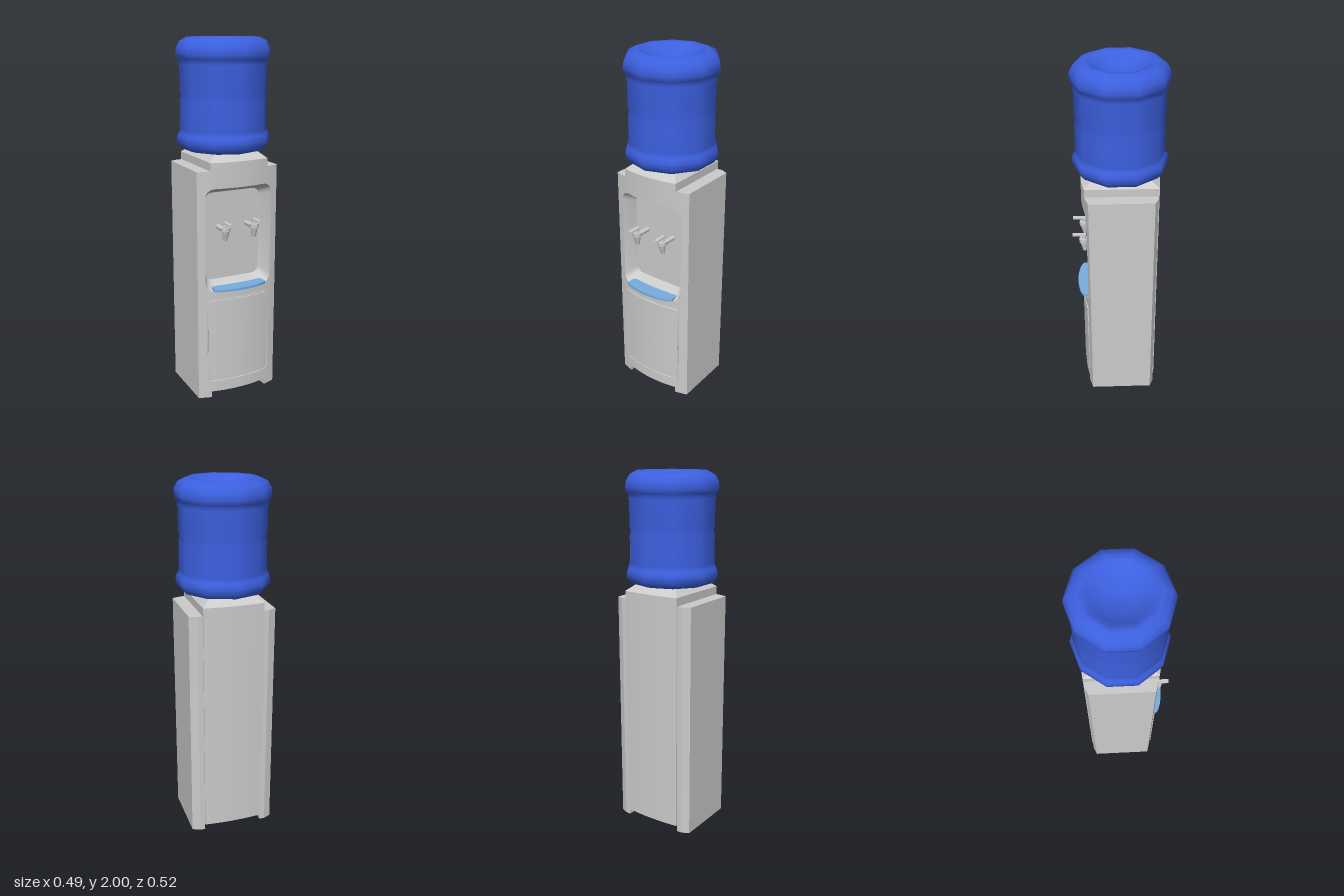
import * as THREE from 'three';
import { toCreasedNormals } from 'three/addons/utils/BufferGeometryUtils.js';

const grey = new THREE.MeshStandardMaterial({ color: 0xcccccc });
const blue = new THREE.MeshStandardMaterial({ color: 0x3c60e0 });
const paleBlue = new THREE.MeshStandardMaterial({ color: 0x78aee0 });

// Column positions across a rounded panel, as fractions of its half width
const half = [0.25, 0.5, 0.75, 0.85, 0.94, 0.98, 1];
const F = [...half.map((f) => -f).reverse(), 0, ...half];

// Bowed front and back of the cabinet
const SEAM = 0.17;
const frontZ = (x) => 0.21 - 0.7 * x * x;
const backCentreZ = (x) => -0.217 + 0.35 * x * x;
const backSideZ = (x) => (Math.abs(x) <= 0.2 ? -0.2 : -0.2 + ((Math.abs(x) - 0.2) / 0.042) * 0.02);

// Collects strips of quads between two polylines of equal length
class Skin {
  constructor() { this.pos = []; }
  strip(a, b) {
    for (let i = 0; i < a.length - 1; i++) {
      this.pos.push(...a[i], ...a[i + 1], ...b[i + 1], ...a[i], ...b[i + 1], ...b[i]);
    }
    return this;
  }
  // Wall at constant x, facing +x (dir 1) or -x (dir -1)
  wall(x, zf, zb, y0, y1, dir) {
    const lo = [[x, y0, zf], [x, y0, zb]], hi = [[x, y1, zf], [x, y1, zb]];
    if (dir < 0) { lo.reverse(); hi.reverse(); }
    return this.strip(lo, hi);
  }
  mesh(name, material = grey) {
    const g = new THREE.BufferGeometry();
    g.setAttribute('position', new THREE.Float32BufferAttribute(this.pos, 3));
    g.computeVertexNormals();
    return named(name, toCreasedNormals(g, 0.4), material);
  }
}

function named(name, geometry, material = grey) {
  const m = new THREE.Mesh(geometry, material);
  m.name = name;
  return m;
}

// Upper and lower edges of a rounded rectangle, left to right
function roundedEdges(hw, y0, y1, r, z) {
  const lo = [], hi = [];
  for (const f of F) {
    const x = f * hw;
    const d = Math.min(r, Math.max(0, Math.abs(x) - (hw - r)));
    const inset = r - Math.sqrt(r * r - d * d);
    lo.push([x, y0 + inset, z(x)]);
    hi.push([x, y1 - inset, z(x)]);
  }
  return { lo, hi, loop: [...hi, ...[...lo].reverse(), hi[0]] };
}

function cabinet() {
  const s = new Skin();
  const niche = roundedEdges(0.2, 0.645, 1.225, 0.05, frontZ);
  const inner = roundedEdges(0.166, 0.685, 1.185, 0.04, () => 0.105);
  const xs = [-0.242, ...F.map((f) => f * 0.2), 0.242];

  // Side panels and centre: each section has its own height and back
  const sections = [
    { a: -0.242, b: -SEAM, y0: 0, y1: 1.32, back: backSideZ },
    { a: -SEAM, b: SEAM, y0: 0.035, y1: 1.365, back: backCentreZ },
    { a: SEAM, b: 0.242, y0: 0, y1: 1.32, back: backSideZ },
  ];
  for (const { a, b, y0, y1, back } of sections) {
    const cols = xs.filter((x) => x > a - 1e-6 && x < b + 1e-6);
    const front = (y) => cols.map((x) => [x, y, frontZ(x)]);
    const rear = (y) => cols.map((x) => [x, y, back(x)]);
    s.strip(rear(y1), rear(y0)).strip(front(y1), rear(y1)).strip(rear(y0), front(y0));
  }

  // Front face around the niche
  const height = (x, inside) => {
    const side = Math.abs(x + inside) / 2 > SEAM;
    return side ? [0, 1.32] : [0.035, 1.365];
  };
  for (let i = 0; i < xs.length - 1; i++) {
    const pair = [xs[i], xs[i + 1]];
    const [y0, y1] = height(...pair);
    const at = (y) => pair.map((x) => [x, y, frontZ(x)]);
    if (i === 0 || i === xs.length - 2) s.strip(at(y0), at(y1));
    else {
      s.strip(at(y0), niche.lo.slice(i - 1, i + 1));
      s.strip(niche.hi.slice(i - 1, i + 1), at(y1));
    }
  }

  // Niche walls and back
  s.strip(inner.loop, niche.loop).strip(inner.lo, inner.hi);

  // Outer sides, feet steps, top steps and back seams
  for (const d of [-1, 1]) {
    s.wall(d * 0.242, frontZ(0.242), backSideZ(0.242), 0, 1.32, d);
    s.wall(d * SEAM, frontZ(SEAM), backSideZ(SEAM), 0, 0.035, -d);
    s.wall(d * SEAM, frontZ(SEAM), backCentreZ(SEAM), 1.32, 1.365, d);
    s.wall(d * SEAM, backSideZ(SEAM), backCentreZ(SEAM), 0.035, 1.32, d);
  }
  return s.mesh('cabinet');
}

// Sloping collar under the bottle
function topCap() {
  const ring = (y, k) => {
    const front = F.map((f) => [f * SEAM * k, y, frontZ(f * SEAM) * k]);
    const back = F.map((f) => [f * SEAM * k, y, backCentreZ(f * SEAM) * k]);
    return { front, back, loop: [...front, ...[...back].reverse(), front[0]] };
  };
  const base = ring(1.365, 1), top = ring(1.405, 0.73);
  return new Skin().strip(base.loop, top.loop).strip(top.front, top.back).mesh('topCap');
}

// Raised bowed door with a shallow border groove
function door() {
  const ring = (inset, lift) =>
    roundedEdges(0.192 - inset, 0.1 + inset, 0.6 - inset, 0.02 - inset, (x) => frontZ(x) + lift);
  const base = ring(0, -0.002), rim = ring(0, 0.004), rimIn = ring(0.004, 0.004);
  const low = ring(0.006, 0.001), face = ring(0.008, 0.004);
  return new Skin()
    .strip(rim.loop, base.loop).strip(rimIn.loop, rim.loop).strip(low.loop, rimIn.loop)
    .strip(face.loop, low.loop).strip(face.lo, face.hi).mesh('door');
}

function dripTray() {
  // Plan drawn with shape y = -z, so that it extrudes upwards
  const shape = new THREE.Shape();
  shape.moveTo(-0.155, -0.14);
  shape.lineTo(-0.158, -0.205);
  shape.quadraticCurveTo(-0.13, -0.238, 0, -0.243);
  shape.quadraticCurveTo(0.13, -0.238, 0.158, -0.205);
  shape.lineTo(0.155, -0.14);
  const g = new THREE.ExtrudeGeometry(shape, { depth: 0.014, bevelEnabled: false, curveSegments: 8 });
  g.rotateX(-Math.PI / 2);
  const tray = named('dripTray', g, paleBlue);
  tray.position.y = 0.649;
  return tray;
}

function tap(x, name) {
  const tapGroup = new THREE.Group();
  tapGroup.name = name;
  const add = (part, g, y, z, rx = 0) => {
    const m = named(part, g);
    m.position.set(0, y, z);
    m.rotation.x = rx;
    tapGroup.add(m);
  };
  add('tapPipe', new THREE.CylinderGeometry(0.014, 0.014, 0.1, 10), 0.99, 0.15, Math.PI / 2);
  add('tapCollar', new THREE.CylinderGeometry(0.026, 0.026, 0.022, 10), 0.998, 0.2);
  add('tapSpout', new THREE.CylinderGeometry(0.021, 0.012, 0.056, 10), 0.961, 0.198, 0.12);
  add('tapStem', new THREE.CylinderGeometry(0.009, 0.013, 0.026, 8), 1.02, 0.2);
  add('tapLever', new THREE.BoxGeometry(0.022, 0.008, 0.075), 1.033, 0.2245);
  tapGroup.position.x = x;
  return tapGroup;
}

// Ten-sided bottle with ribs and a dished end
function bottle() {
  const profile = [
    [0, 1.4], [0.2, 1.4], [0.235, 1.41], [0.255, 1.435], [0.258, 1.465], [0.25, 1.49],
    [0.238, 1.505], [0.243, 1.52], [0.238, 1.54], [0.238, 1.67], [0.231, 1.692], [0.238, 1.714],
    [0.238, 1.845], [0.243, 1.86], [0.238, 1.878], [0.252, 1.89], [0.258, 1.915], [0.255, 1.945],
    [0.235, 1.98], [0.195, 2], [0.165, 1.995], [0.14, 1.975], [0.08, 1.945], [0, 1.935],
  ].map(([r, y]) => new THREE.Vector2(r, y));
  const m = named('waterBottle', new THREE.LatheGeometry(profile, 10), blue);
  m.position.z = -0.005;
  return m;
}

export function createModel() {
  const model = new THREE.Group();
  model.name = 'waterDispenser';
  model.add(cabinet(), topCap(), door(), dripTray(), bottle());
  model.add(tap(0.088, 'leftTap'), tap(-0.088, 'rightTap'));
  return model;
}
